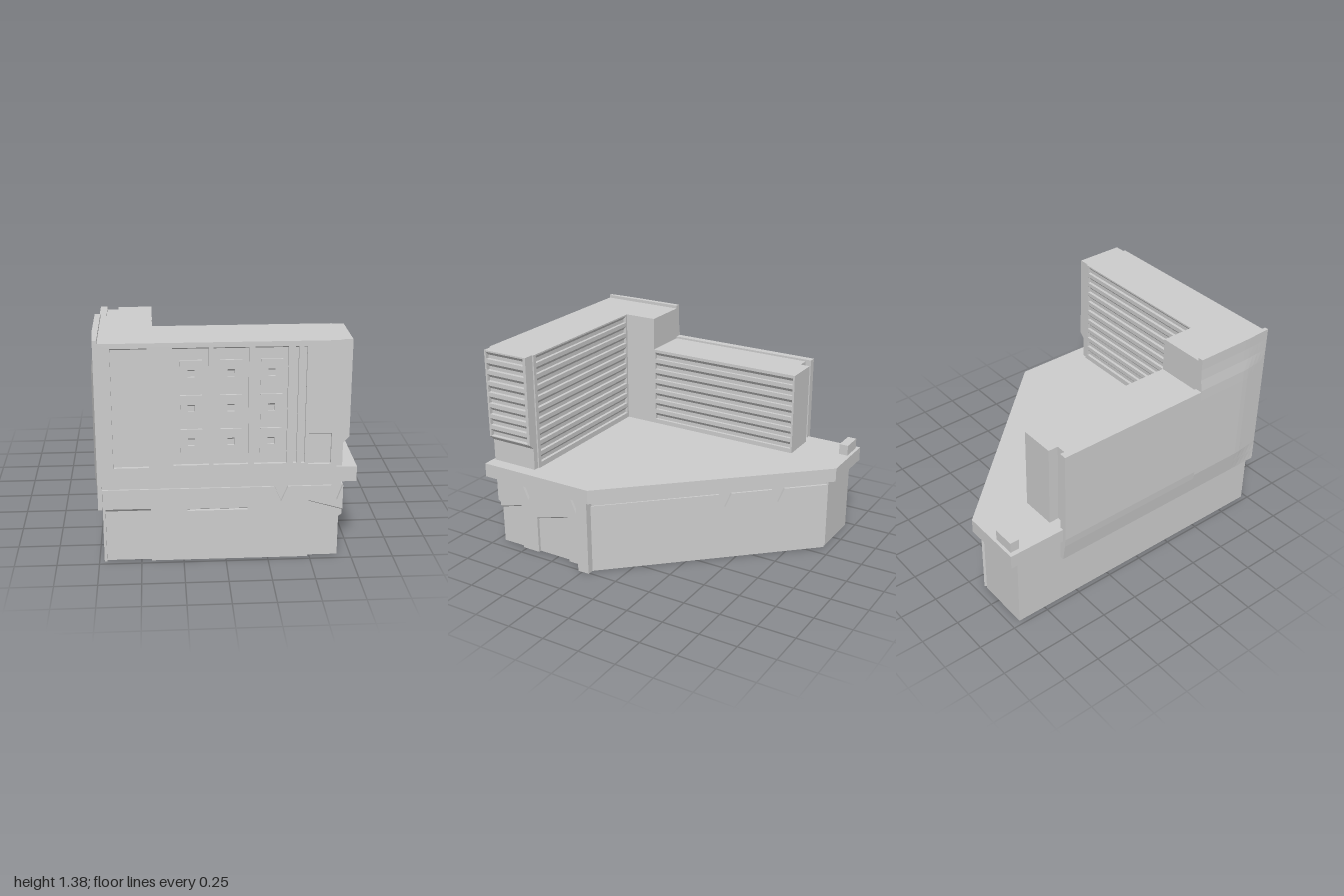
import * as THREE from 'three';

const MAT = new THREE.MeshStandardMaterial({ color: 0xcccccc, flatShading: true });

function add(parent, geometry, name) {
  const mesh = new THREE.Mesh(geometry, MAT);
  mesh.name = name;
  parent.add(mesh);
  return mesh;
}

function extrude(points, depth, holes = []) {
  const shape = new THREE.Shape(points.map(([x, y]) => new THREE.Vector2(x, y)));
  for (const [u0, v0, u1, v1] of holes) {
    shape.holes.push(new THREE.Path([
      new THREE.Vector2(u0, v0), new THREE.Vector2(u0, v1),
      new THREE.Vector2(u1, v1), new THREE.Vector2(u1, v0)]));
  }
  return new THREE.ExtrudeGeometry(shape, { depth, bevelEnabled: false });
}

// Upright prism over a plan given as [x, z] corners
function prism(parent, plan, y0, y1, name) {
  const g = extrude(plan.map(([x, z]) => [x, -z]), y1 - y0);
  g.rotateX(-Math.PI / 2).translate(0, y0, 0);
  return add(parent, g, name);
}

function box(parent, x0, x1, y0, y1, z0, z1, name) {
  const g = new THREE.BoxGeometry(x1 - x0, y1 - y0, z1 - z0);
  g.translate((x0 + x1) / 2, (y0 + y1) / 2, (z0 + z1) / 2);
  return add(parent, g, name);
}

// Sloping soffit under the head of an opening, running from (u0, v0) to (u1, v1)
function soffit(parent, u0, v0, u1, v1, drop, depth) {
  const g = extrude([[0, -drop], [depth, 0], [0, 0]], u1 - u0);
  g.rotateY(-Math.PI / 2).translate(u1, 0, 0);
  const p = g.attributes.position;
  for (let i = 0; i < p.count; i++) {
    p.setY(i, p.getY(i) + v0 + (v1 - v0) * (p.getX(i) - u0) / (u1 - u0));
  }
  g.computeVertexNormals();
  add(parent, g, 'soffit');
}

// Wall skin with openings; local x runs along the wall, local z points outward
function facade(parent, name, outline, depth, holes, drop, place) {
  const group = new THREE.Group();
  group.name = name;
  add(group, extrude(outline, depth, holes), name + 'Skin');
  for (const [u0, , u1, v1] of holes) soffit(group, u0, v1, u1, v1, drop, depth);
  group.position.set(place[0], 0, place[1]);
  group.rotation.y = place[2];
  parent.add(group);
  return group;
}

const rect = (u0, v0, u1, v1) => [[u0, v0], [u1, v0], [u1, v1], [u0, v1]];

// Stack of louvre slots
function slots(u0, u1, top, count) {
  return Array.from({ length: count }, (_, i) => {
    const v = top - i * 0.0747;
    return [u0, v - 0.047, u1, v];
  });
}

const notch = (u, w = 0.042) => [[u + w, 0.46], [u, 0.365], [u - w, 0.46]];

function buildPodium(root) {
  const g = new THREE.Group();
  g.name = 'podium';
  root.add(g);
  prism(g, [[-0.72, 0.95], [0.67, 0.95], [0.67, 0.28], [0.76, 0.28], [0.76, 0.2],
    [0.688, 0.2], [-0.366, -0.94], [-0.72, -0.94]], 0, 0.5, 'groundFloor');
  prism(g, [[-0.72, 0.96], [0.678, 0.96], [0.678, 0.25], [0.705, 0.2],
    [-0.35, -0.93], [-0.72, -0.93]], 0.46, 0.5, 'cornice');
  prism(g, [[-0.745, 1], [0.76, 1], [0.76, 0.19], [-0.34, -1], [-0.745, -1]], 0.497, 0.59, 'roofSlab');
  box(g, -0.715, -0.57, 0.59, 0.66, -0.98, -0.92, 'roofVent');

  // Front wall with doorways, a slot and notches
  const front = facade(g, 'frontWall', [[-0.72, 0], [-0.705, 0], [-0.705, 0.338], [-0.44, 0.338],
    [-0.44, 0], [0.487, 0], [0.487, 0.368], [0.69, 0.308], [0.69, 0.46],
    ...notch(0.655, 0.033), ...notch(0.325, 0.04), [-0.72, 0.46]],
  0.02, [[-0.225, 0.318, 0.128, 0.33]], 0.011, [0, 0.95, 0]);
  soffit(front, -0.705, 0.338, -0.44, 0.338, 0.02, 0.02);
  soffit(front, 0.487, 0.368, 0.69, 0.308, 0.012, 0.02);

  // Right wall with two slanted doorways
  const side = facade(g, 'rightWall', [[-0.95, 0.265], [-0.775, 0.315], [-0.775, 0], [-0.65, 0],
    [-0.65, 0.255], [-0.4, 0.325], [-0.4, 0], [-0.28, 0], [-0.28, 0.46],
    ...notch(-0.335), ...notch(-0.715), [-0.95, 0.46]],
  0.02, [], 0.01, [0.67, 0, Math.PI / 2]);
  soffit(side, -0.95, 0.265, -0.775, 0.315, 0.014, 0.02);
  soffit(side, -0.65, 0.255, -0.4, 0.325, 0.014, 0.02);

  // Diagonal rear wall
  facade(g, 'diagonalWall', [[0, 0], [1.555, 0], [1.555, 0.46],
    ...notch(1.225), ...notch(0.87), [0, 0.46]],
  0.02, [], 0.01, [0.7, 0.2136, Math.atan2(0.735, -0.679)]);
}

function buildTower(root) {
  const g = new THREE.Group();
  g.name = 'tower';
  root.add(g);
  box(g, -0.74, 0.64, 0.59, 1.355, 0.67, 0.98, 'towerBody');
  box(g, -0.74, -0.415, 0.59, 1.355, 0.43, 0.67, 'stairCore');

  // Front wall: tall panels, slits and a small door
  const columns = [[-0.305, -0.1, -0.2], [-0.075, 0.125, 0.025], [0.16, 0.347, 0.255]];
  const holes = [[-0.65, 0.61, -0.445, 1.325],
    ...columns.map(([a, b]) => [a, 0.62, b, 1.325]),
    [0.385, 0.62, 0.405, 1.325], [0.433, 0.62, 0.452, 1.325], [0.472, 0.61, 0.605, 0.8]];
  const front = facade(g, 'towerFront', rect(-0.74, 0.59, 0.64, 1.355), 0.02, holes, 0.011, [0, 0.98, 0]);
  for (const [, , x] of columns) {
    for (const y of [1.172, 0.965, 0.76]) {
      const hole = [x - 0.02, y - 0.022, x + 0.02, y + 0.022];
      const frame = facade(front, 'windowFrame', rect(x - 0.062, y - 0.077, x + 0.062, y + 0.077),
        0.012, [hole], 0.011, [0, 0, 0]);
      frame.position.z = 0;
    }
  }

  // Louvred rear wall
  facade(g, 'towerRear', rect(-0.64, 0.59, 0.42, 1.355), 0.02,
    slots(-0.615, 0.4, 1.345, 10), 0.023, [0, 0.67, Math.PI]);

  // Louvred end bay overhanging a narrower foot
  const bay = extrude([[0.64, 0.59], [0.675, 0.59], [0.675, 0.735], [0.685, 0.745],
    [0.685, 1.355], [0.64, 1.355]], 0.325);
  add(g, bay.translate(0, 0, 0.66), 'endBay');
  facade(g, 'endLouvres', rect(-0.985, 0.77, -0.66, 1.355), 0.025,
    slots(-0.972, -0.68, 1.345, 8), 0.025, [0.685, 0, Math.PI / 2]);
  const lip = extrude([[0.675, 0.735], [0.71, 0.77], [0.675, 0.77]], 0.325);
  add(g, lip.translate(0, 0, 0.66), 'endBaySoffit');
}

function buildWing(root) {
  const g = new THREE.Group();
  g.name = 'wing';
  root.add(g);
  prism(g, [[-0.74, 0.43], [-0.435, 0.43], [-0.435, -0.645], [-0.645, -0.645], [-0.645, -0.58],
    [-0.72, -0.58], [-0.72, -0.62], [-0.74, -0.62]], 0.59, 1.135, 'wingBody');
  facade(g, 'wingLouvres', rect(-0.43, 0.59, 0.645, 1.135), 0.02,
    slots(-0.42, 0.632, 1.115, 7), 0.023, [-0.435, 0, Math.PI / 2]);
}

// Bulging blind wall along the left side
function buildSideWall(root) {
  const panel = (z0, z1, top) => {
    const h = top - 0.35;
    const geo = new THREE.BoxGeometry(0.025, h, z1 - z0, 1, 14, 14);
    geo.translate(-0.7325, 0.35 + h / 2, (z0 + z1) / 2);
    const p = geo.attributes.position;
    for (let i = 0; i < p.count; i++) {
      if (p.getX(i) > -0.74) continue;
      const y = p.getY(i), z = p.getZ(i);
      const rise = Math.min(1, (y - 0.35) / 0.15);
      const fall = 1 - 0.6 * THREE.MathUtils.clamp((y - 1.15) / 0.1, 0, 1);
      const ends = Math.min(1, (1 - z) / 0.18);
      p.setX(i, -0.745 - 0.022 * rise * fall * ends);
    }
    geo.computeVertexNormals();
    add(root, geo, 'sideWall');
  };
  panel(0.43, 1, 1.375);
  panel(-0.62, 0.43, 1.148);
}

export function createModel() {
  const root = new THREE.Group();
  root.name = 'building';
  buildPodium(root);
  buildTower(root);
  buildWing(root);
  buildSideWall(root);
  return root;
}
